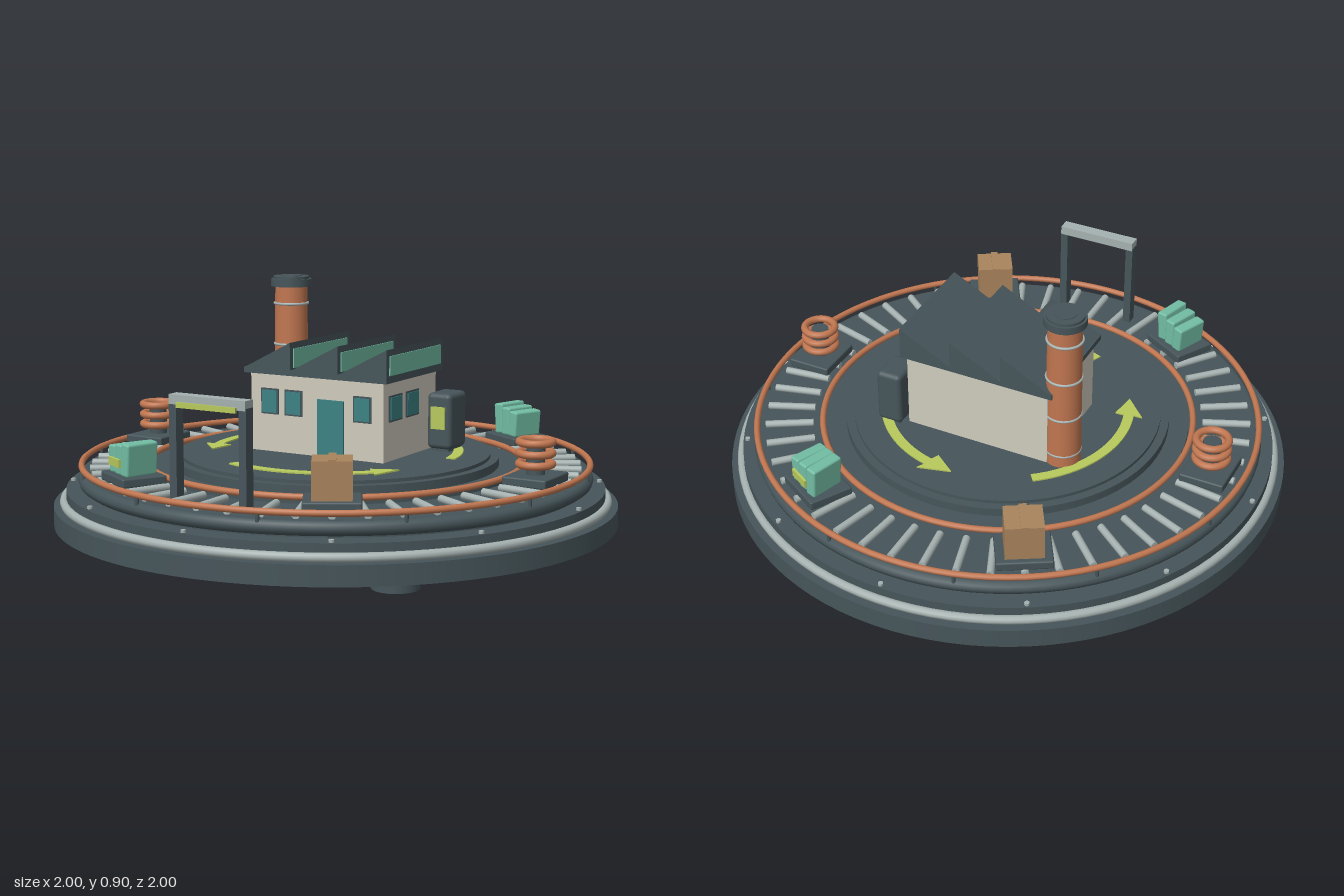
import * as THREE from 'three';
import { RoundedBoxGeometry } from 'three/addons/geometries/RoundedBoxGeometry.js';

const mat = (name, color, extra = {}) => new THREE.MeshStandardMaterial({ name, color, ...extra });

export function createModel() {
  const slate = mat('slate', 0x46555a), steel = mat('steel', 0xa5b1b0), copper = mat('copper', 0xc07650);
  const plaster = mat('plaster', 0xcfcbbd), teal = mat('teal', 0x3d8284), mint = mat('mint', 0x72bda4);
  const lime = mat('lime', 0xb8c95c), card = mat('cardboard', 0xa9845c);

  const model = new THREE.Group();
  model.name = 'factoryTurntable';

  const add = (parent, name, geo, m, x = 0, y = 0, z = 0) => {
    const mesh = new THREE.Mesh(geo, m);
    mesh.name = name;
    mesh.position.set(x, y, z);
    parent.add(mesh);
    return mesh;
  };
  const box = (p, name, m, w, h, d, x, y, z) => add(p, name, new THREE.BoxGeometry(w, h, d), m, x, y, z);
  // Cylinder given by its bottom and top height
  const cyl = (p, name, m, r, y0, y1, x = 0, z = 0, seg = 32, rTop = r) =>
    add(p, name, new THREE.CylinderGeometry(rTop, r, y1 - y0, seg), m, x, (y0 + y1) / 2, z);
  const ring = (p, name, m, r, tube, y, x = 0, z = 0, seg = 48) => {
    const geo = new THREE.TorusGeometry(r, tube, 10, seg);
    geo.rotateX(Math.PI / 2);
    return add(p, name, geo, m, x, y, z);
  };
  const group = (name, parent = model) => {
    const g = new THREE.Group();
    g.name = name;
    parent.add(g);
    return g;
  };

  // Base: feet, stacked discs, trim ring and bolts
  const base = group('base');
  for (const x of [-0.55, 0.55]) for (const z of [-0.55, 0.55]) cyl(base, 'foot', slate, 0.08, 0, 0.07, x, z);
  cyl(base, 'baseDisc', slate, 1, 0.065, 0.135, 0, 0, 96);
  cyl(base, 'stepDisc', slate, 0.955, 0.135, 0.193, 0, 0, 96);
  ring(base, 'trimRing', steel, 0.962, 0.016, 0.149, 0, 0, 96);
  cyl(base, 'neck', slate, 0.88, 0.19, 0.215, 0, 0, 96);
  for (let i = 0; i < 12; i++) {
    const a = i * Math.PI / 6;
    cyl(base, 'bolt', steel, 0.009, 0.19, 0.202, 0.94 * Math.sin(a), 0.94 * Math.cos(a), 10);
  }

  // Ring conveyor: rounded bed, rollers and two copper rails
  const conveyor = group('conveyor');
  cyl(conveyor, 'bed', slate, 0.887, 0.202, 0.249, 0, 0, 96);
  ring(conveyor, 'bedLip', slate, 0.887, 0.025, 0.225, 0, 0, 96);
  ring(conveyor, 'outerRail', copper, 0.9, 0.011, 0.275, 0, 0, 96);
  ring(conveyor, 'innerRail', copper, 0.665, 0.011, 0.275, 0, 0, 96);
  const rollerGeo = new THREE.CylinderGeometry(0.013, 0.013, 0.17, 12);
  rollerGeo.rotateX(Math.PI / 2);
  for (let i = 0; i < 48; i++) {
    const a = i * Math.PI / 24;
    const roller = add(conveyor, 'roller', rollerGeo, steel, 0.785 * Math.sin(a), 0.26, 0.785 * Math.cos(a));
    roller.rotation.y = a;
  }
  for (let i = 0; i < 12; i++) {
    const a = (i + 0.5) * Math.PI / 6;
    cyl(conveyor, 'railPost', slate, 0.007, 0.24, 0.27, 0.9 * Math.sin(a), 0.9 * Math.cos(a), 8);
  }

  // Central deck
  const deck = group('deck');
  cyl(deck, 'lowerDeck', slate, 0.65, 0.245, 0.265, 0, 0, 80);
  cyl(deck, 'middleDeck', slate, 0.58, 0.26, 0.295, 0, 0, 80);
  cyl(deck, 'upperDeck', slate, 0.55, 0.29, 0.307, 0, 0, 80);

  // Three curved direction arrows on the deck
  const rad = Math.PI / 180;
  const arrow = new THREE.Shape();
  const polar = (r, deg) => [r * Math.cos(deg * rad), r * Math.sin(deg * rad)];
  arrow.moveTo(...polar(0.418, 7));
  arrow.lineTo(...polar(0.454, 7));
  arrow.absarc(0, 0, 0.454, 7 * rad, 77 * rad, false);
  arrow.lineTo(...polar(0.485, 76));
  arrow.lineTo(...polar(0.44, 90));
  arrow.lineTo(...polar(0.388, 78));
  arrow.lineTo(...polar(0.418, 77));
  arrow.absarc(0, 0, 0.418, 77 * rad, 7 * rad, true);
  const arrowGeo = new THREE.ExtrudeGeometry(arrow, { depth: 0.006, bevelEnabled: false, curveSegments: 20 });
  arrowGeo.rotateX(-Math.PI / 2);
  for (let i = 0; i < 3; i++) add(deck, 'directionArrow', arrowGeo, lime, 0, 0.306, 0).rotation.y = i * 120 * rad;

  // Factory walls, door and windows
  const factory = group('factory');
  box(factory, 'walls', plaster, 0.54, 0.285, 0.38, 0, 0.4475, -0.055);
  box(factory, 'door', teal, 0.105, 0.2, 0.008, 0.06, 0.41, 0.138);
  for (const x of [-0.19, -0.092, 0.187]) {
    box(factory, 'frontWindowFrame', slate, 0.072, 0.092, 0.005, x, 0.487, 0.136);
    box(factory, 'frontWindow', teal, 0.06, 0.08, 0.008, x, 0.487, 0.138);
  }
  for (const z of [0.053, -0.068]) {
    box(factory, 'sideWindowFrame', slate, 0.005, 0.092, 0.092, 0.271, 0.49, z);
    box(factory, 'sideWindow', teal, 0.008, 0.08, 0.08, 0.273, 0.49, z);
  }

  // Sawtooth roof with a skylight in every upright face
  box(factory, 'roofSlab', slate, 0.58, 0.02, 0.41, 0, 0.595, -0.053);
  const tooth = new THREE.Shape([[0, 0], [0.193, 0], [0.193, 0.1]].map(p => new THREE.Vector2(...p)));
  const toothGeo = new THREE.ExtrudeGeometry(tooth, { depth: 0.41, bevelEnabled: false });
  for (let i = 0; i < 3; i++) {
    const x = -0.29 + i * 0.1935;
    add(factory, 'roofTooth', toothGeo, slate, x, 0.602, -0.258);
    box(factory, 'skylight', mint, 0.006, 0.068, 0.37, x + 0.194, 0.645, -0.053);
  }

  // Banded chimney
  const chimney = group('chimney');
  chimney.position.set(-0.305, 0, -0.19);
  cyl(chimney, 'stack', copper, 0.064, 0.305, 0.87, 0, 0, 32, 0.059);
  for (const y of [0.35, 0.5, 0.65, 0.8]) ring(chimney, 'band', steel, 0.061, 0.005, y);
  cyl(chimney, 'cap', slate, 0.074, 0.863, 0.89);
  cyl(chimney, 'capTop', slate, 0.066, 0.89, 0.9);
  cyl(chimney, 'flue', slate, 0.038, 0.9, 0.903);

  // Control cabinet beside the factory
  const cabinet = group('cabinet');
  add(cabinet, 'cabinetBody', new RoundedBoxGeometry(0.095, 0.2, 0.13, 3, 0.018), slate, 0.328, 0.415, -0.222);
  box(cabinet, 'cabinetFoot', slate, 0.07, 0.02, 0.1, 0.328, 0.314, -0.222);
  box(cabinet, 'cabinetPanel', lime, 0.055, 0.08, 0.008, 0.328, 0.428, -0.155);

  // Gantry over the conveyor
  const gantry = group('gantry');
  for (const x of [-0.135, 0.135]) box(gantry, 'gantryPost', slate, 0.028, 0.335, 0.04, x, 0.4125, 0.782);
  box(gantry, 'gantryBeam', steel, 0.295, 0.032, 0.045, 0, 0.589, 0.782);
  box(gantry, 'gantryLight', lime, 0.23, 0.018, 0.008, 0, 0.573, 0.808);

  // Pallet stations around the ring; local +z points outwards
  const station = (name, deg) => {
    const g = group(name);
    g.position.set(0.78 * Math.sin(deg * rad), 0, 0.78 * Math.cos(deg * rad));
    g.rotation.y = deg * rad;
    add(g, 'pallet', new RoundedBoxGeometry(0.19, 0.032, 0.16, 2, 0.006), slate, 0, 0.284, 0);
    return g;
  };
  for (const deg of [90, -90]) {
    const g = station('coilStation', deg);
    cyl(g, 'coilCore', slate, 0.032, 0.295, 0.405, 0, 0, 24);
    for (const y of [0.335, 0.372, 0.41]) ring(g, 'coilTurn', copper, 0.056, 0.0135, y, 0, 0, 32);
  }
  for (const deg of [30, 210]) {
    const g = station('crateStation', deg);
    box(g, 'crate', card, 0.13, 0.128, 0.12, 0, 0.363, 0);
    box(g, 'crateTape', card, 0.026, 0.006, 0.126, 0, 0.429, 0);
    for (const s of [-1, 1]) box(g, 'crateTapeEnd', card, 0.026, 0.04, 0.005, 0, 0.411, s * 0.061);
  }
  for (const deg of [-30, 150]) {
    const g = station('packStation', deg);
    [-1, 0, 1].forEach(i => {
      const h = 0.095 + 0.009 * (i + 1);
      const pack = add(g, 'pack', new RoundedBoxGeometry(0.042, h, 0.125, 2, 0.008), mint, i * 0.048, 0.3 + h / 2, 0);
      pack.rotation.set(0, 0.17 + i * 0.05, -i * 0.08);
    });
    box(g, 'packLabel', lime, 0.085, 0.028, 0.009, 0, 0.343, 0.068);
  }

  return model;
}
